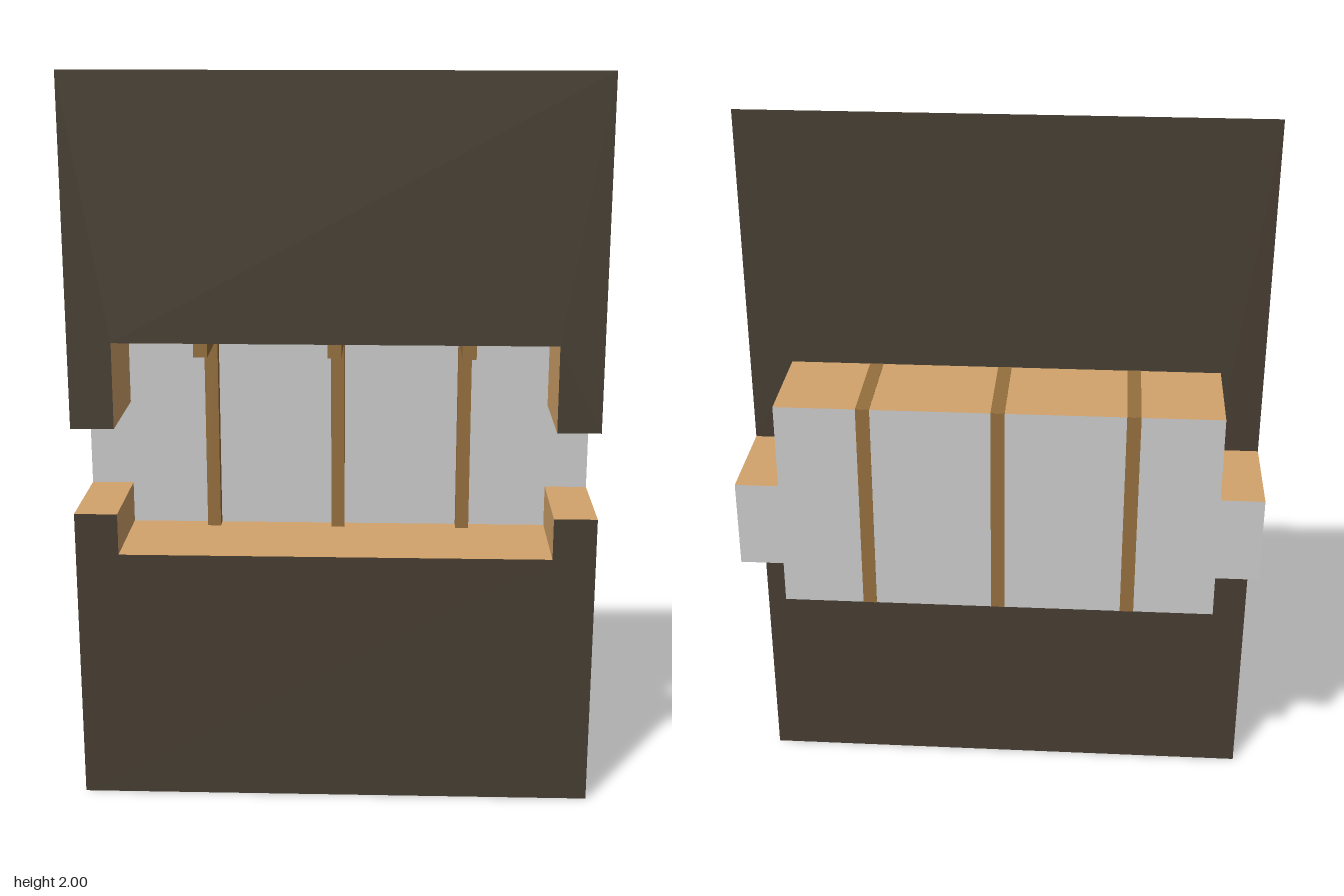
import * as THREE from 'three';

const W = 0.705;            // half width of the wall and of the side arms
const X = 0.588;            // half width of the main recess
const D = 0.147;            // half depth
const Y0 = 0.71, Y1 = 0.825, Y2 = 1.064, Y3 = 1.298; // recess bottom, arm bottom, arm top, recess top

const material = (color) => new THREE.MeshStandardMaterial({ color, side: THREE.DoubleSide, flatShading: true });

// Stepped edges of the recess, left to right
const lowerEdge = [[-W, Y1], [-X, Y1], [-X, Y0], [X, Y0], [X, Y1], [W, Y1]];
const upperEdge = [[-W, Y2], [-X, Y2], [-X, Y3], [X, Y3], [X, Y2], [W, Y2]];

export function createModel() {
  const model = new THREE.Group();
  const dark = material(0x473e32), tan = material(0xd2a36b);
  const wood = material(0x956f3e), grey = material(0xcccccc);

  const add = (name, geometry, mat, x = 0, y = 0, z = 0) => {
    const mesh = new THREE.Mesh(geometry, mat);
    mesh.name = name;
    mesh.position.set(x, y, z);
    model.add(mesh);
  };
  const flat = (points) => new THREE.ShapeGeometry(
    new THREE.Shape(points.map(([x, y]) => new THREE.Vector2(x, y))));

  // Sweeps a stepped edge through the depth of the recess
  const strip = (edge) => {
    const positions = [];
    for (let i = 0; i < edge.length - 1; i++) {
      const [ax, ay] = edge[i], [bx, by] = edge[i + 1];
      positions.push(ax, ay, D, bx, by, D, bx, by, -D, ax, ay, D, bx, by, -D, ax, ay, -D);
    }
    const geometry = new THREE.BufferGeometry();
    geometry.setAttribute('position', new THREE.Float32BufferAttribute(positions, 3));
    geometry.computeVertexNormals();
    return geometry;
  };

  // Front wall, in two sheets above and below the opening
  add('frontWallLower', flat([[-W, 0], [W, 0], ...[...lowerEdge].reverse()]), dark, 0, 0, D);
  add('frontWallUpper', flat([...upperEdge, [W, 2], [-W, 2]]), dark, 0, 0, D);

  // Back panel and recess lining, open at the ends of the arms
  add('backPanel', flat([...lowerEdge, ...[...upperEdge].reverse()]), grey, 0, 0, -D);
  add('recessFloor', strip(lowerEdge), tan);
  add('recessCeiling', strip(upperEdge), tan);

  // Posts against the back panel with beams running forward under the ceiling
  const T = 0.037, e = 0.001;
  for (const x of [-0.353, 0, 0.353]) {
    add('post', new THREE.BoxGeometry(T, Y3 - Y0, T + e), wood, x, (Y0 + Y3) / 2, -D + (T - e) / 2);
    add('beam', new THREE.BoxGeometry(T, T + e, 2 * D), wood, x, Y3 - (T - e) / 2, 0);
  }
  return model;
}
